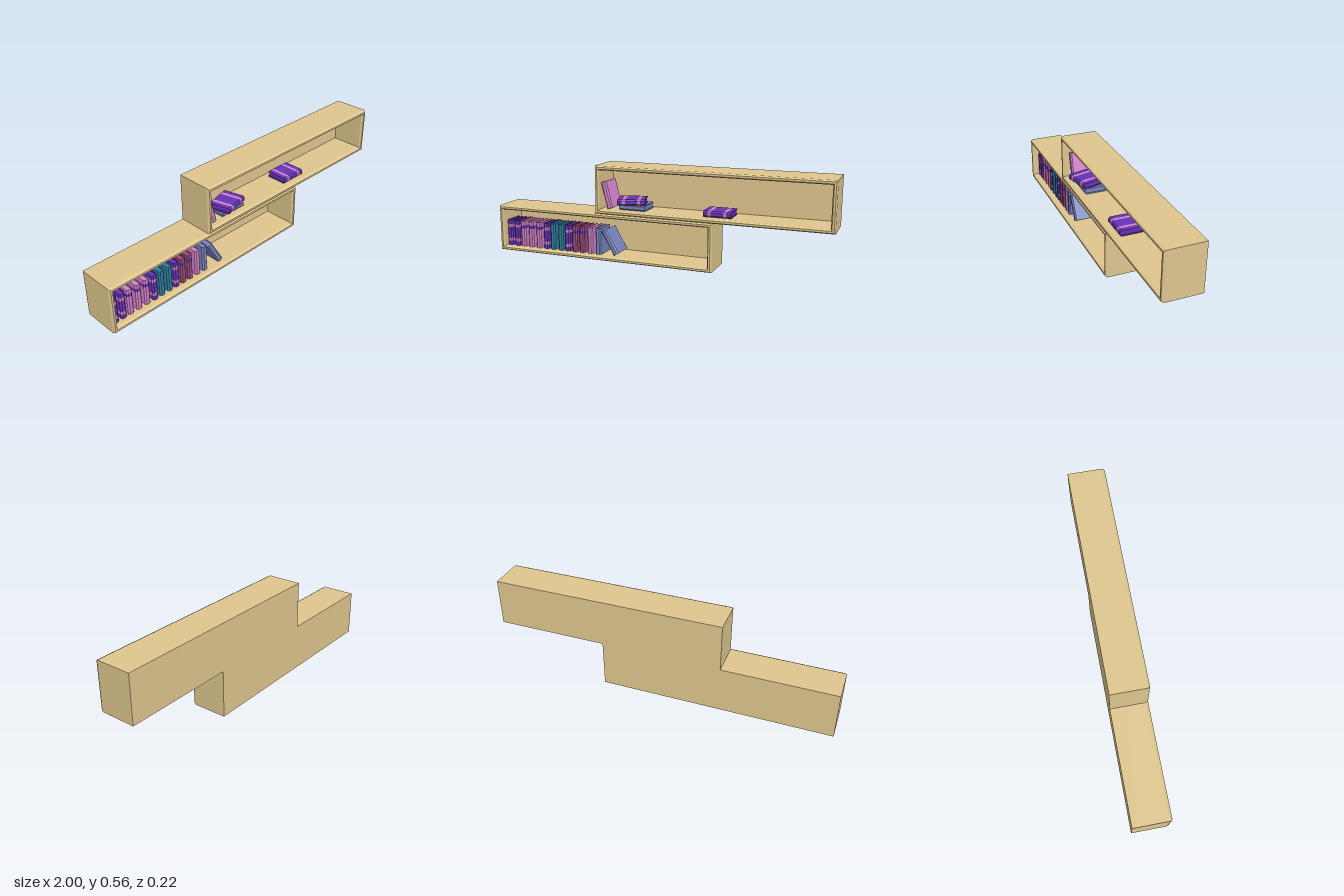
import * as THREE from 'three';

const mat = (color) => new THREE.MeshStandardMaterial({ color, flatShading: true });
const wood = mat(0xdec68e);
const purple = mat(0x6633b8), pink = mat(0xd482c8), teal = mat(0x2f7f9f);
const maroon = mat(0x9c4c7c), blue = mat(0x7884c0);

// Book kinds: main colour, band colour, bands as [start, end] along the height
const two = [[0.026, 0.044], [0.113, 0.131]], one = [[0.113, 0.131]];
const KINDS = {
  purple: [purple, pink, two],
  pinkBanded: [pink, purple, one],
  pink: [pink, pink, []],
  teal: [teal, teal, []],
  maroon: [maroon, purple, one],
  blue: [blue, blue, []],
};
const T = 0.034, H = 0.157, D = 0.13; // book thickness, height, depth
const WALL = 0.025, W = 1.35, BOX_H = 0.2775, BACK = -0.11, PANEL = 0.015;

function rectangle(PathType, w, h) {
  const p = new PathType();
  p.moveTo(-w / 2, -h / 2);
  p.lineTo(w / 2, -h / 2);
  p.lineTo(w / 2, h / 2);
  p.lineTo(-w / 2, h / 2);
  p.closePath();
  return p;
}

// Open-fronted box: a frame with a chamfered front rim, and a back panel
function shelfBox(name, x, y) {
  const group = new THREE.Group();
  group.name = name;
  const shape = rectangle(THREE.Shape, W, BOX_H);
  shape.holes.push(rectangle(THREE.Path, W - 2 * WALL, BOX_H - 2 * WALL));
  const bevel = 0.007, rim = 0.014, depth = 0.188;
  const geo = new THREE.ExtrudeGeometry(shape, {
    depth, bevelEnabled: true, bevelSegments: 1,
    bevelSize: bevel, bevelOffset: -bevel, bevelThickness: rim,
  });
  // Flatten the rear chamfer against the back panel
  const pos = geo.attributes.position;
  for (let i = 0; i < pos.count; i++) if (pos.getZ(i) < 0) pos.setZ(i, 0);
  geo.computeVertexNormals();
  const frame = new THREE.Mesh(geo, wood);
  frame.name = 'frame';
  frame.position.z = BACK + PANEL;
  const panel = new THREE.Mesh(new THREE.BoxGeometry(W, BOX_H, PANEL), wood);
  panel.name = 'backPanel';
  panel.position.z = BACK + PANEL / 2;
  group.add(frame, panel);
  group.position.set(x, y + BOX_H / 2, 0);
  return group;
}

// Cover section: chamfered spine at the front, two boards running back
function coverShape() {
  const t = T / 2, d = D / 2, c = 0.008, board = 0.005;
  const points = [
    [-t + c, -d], [t - c, -d], [t, -d + c], [t, d], [t - board, d],
    [t - board, -d + c], [-t + board, -d + c], [-t + board, d], [-t, d], [-t, -d + c],
  ];
  return new THREE.Shape(points.map(([x, y]) => new THREE.Vector2(x, y)));
}

// Upright book centred on its origin, spine towards +z
function book(kind, x, y, z, lean = 0, turn = 0) {
  const [main, bandMat, bands] = KINDS[kind];
  const group = new THREE.Group();
  group.name = 'book';
  const section = (name, from, to, material) => {
    const geo = new THREE.ExtrudeGeometry(coverShape(), { depth: to - from, bevelEnabled: false });
    geo.rotateX(-Math.PI / 2);
    const mesh = new THREE.Mesh(geo, material);
    mesh.name = name;
    mesh.position.y = from - H / 2;
    group.add(mesh);
  };
  let last = 0;
  for (const [from, to] of bands) {
    section('cover', last, from, main);
    section('band', from, to, bandMat);
    last = to;
  }
  section('cover', last, H, main);
  const pages = new THREE.Mesh(new THREE.BoxGeometry(T - 0.01, H - 0.008, D - 0.013), main);
  pages.name = 'pages';
  pages.position.z = -0.0015;
  group.add(pages);
  group.position.set(x, y, z);
  group.rotation.set(0, turn, lean);
  return group;
}

export function createModel() {
  const model = new THREE.Group();
  model.name = 'bookshelf';
  model.add(shelfBox('lowerBox', -0.325, 0), shelfBox('upperBox', 0.325, BOX_H));

  // Standing row in the lower box
  const row = [
    ['purple', -0.955], ['purple', -0.906], ['pinkBanded', -0.861], ['pinkBanded', -0.807],
    ['pinkBanded', -0.754], ['purple', -0.702], ['teal', -0.655], ['teal', -0.602],
    ['purple', -0.556], ['maroon', -0.508], ['maroon', -0.46], ['pink', -0.406], ['blue', -0.353],
  ];
  for (const [kind, x] of row) model.add(book(kind, x, WALL + H / 2, 0.003));

  // Leaning books
  const deg = Math.PI / 180;
  model.add(book('blue', -0.278, 0.103, 0.003, 29 * deg));
  model.add(book('pink', -0.293, 0.383, 0.003, 14 * deg));

  // Books lying flat in the upper box
  const floor = BOX_H + WALL + T / 2 + 0.002;
  model.add(book('blue', -0.134, floor, 0.003, Math.PI / 2));
  model.add(book('purple', -0.145, floor + T, 0.03, Math.PI / 2, 15 * deg));
  model.add(book('purple', 0.367, floor, 0.003, Math.PI / 2));
  return model;
}
